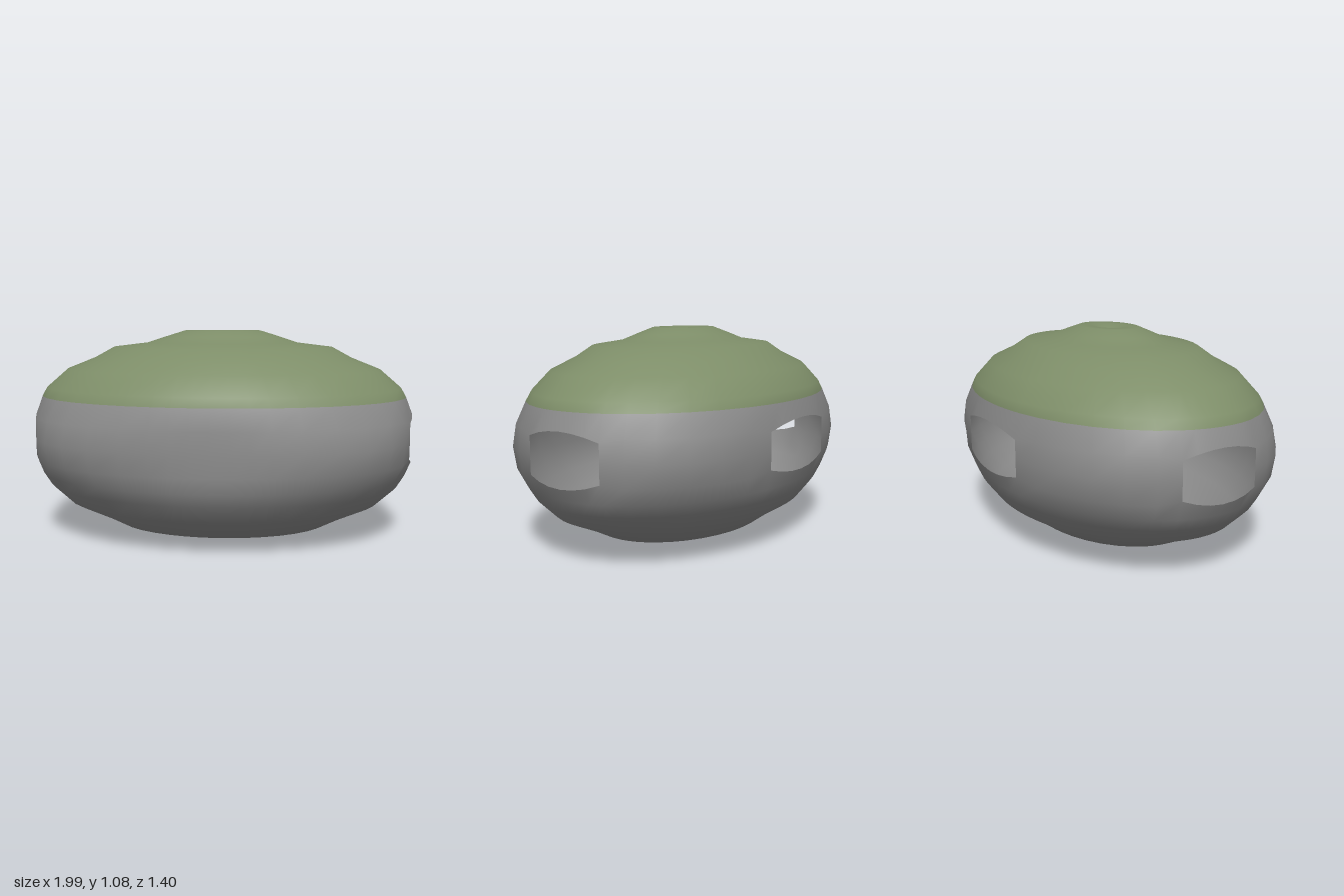
import * as THREE from 'three';

const DEPTH = 0.7;   // z size relative to x size
const HOLE = 16.5;   // half angle of the wall openings, degrees

// Profile from the rim of the bottom opening to the dimple on top:
// [radius along x, height, exponent of the plan outline (2 = ellipse, more = squarer)]
const PROFILE = [
  [0.285, 0.01, 2], [0.33, 0.022, 2], [0.4, 0.042, 2], [0.56, 0.06, 2], [0.67, 0.115, 2],
  [0.83, 0.185, 2], [0.93, 0.275, 2], [0.968, 0.34, 2.07], [0.997, 0.42, 2.2], [0.988, 0.53, 2.45],
  [0.997, 0.64, 2.2], [0.965, 0.745, 2.03], [0.94, 0.79, 2], [0.83, 0.885, 2], [0.68, 0.945, 2],
  [0.58, 1.0, 2], [0.4, 1.022, 2], [0.3, 1.055, 2], [0.2, 1.086, 2], [0.12, 1.086, 2],
  [0.07, 1.07, 2], [0, 1.066, 2],
];
const SILL = 8, LINTEL = 10, COLOUR_LINE = 11;

// Column angles: the first quadrant repeated, with columns on the opening edges
const QUADRANT = [0, 5.5, 11, HOLE, 25, 35, 45, 55, 65, 90 - HOLE, 79, 84.5];
const ANGLES = [0, 90, 180, 270].flatMap(q => QUADRANT.map(a => a + q));

// Angle from the nearest opening (both sides and the back; the front is closed)
function fromOpening(angle) {
  return Math.min(...[0, 180, 270, 360].map(c => Math.abs(angle - c)));
}

function shellPoint(row, angle) {
  let [r, y, n] = PROFILE[row];
  const t = THREE.MathUtils.degToRad(angle);
  const c = Math.cos(t), s = Math.sin(t);
  r /= Math.pow(Math.abs(c) ** n + Math.abs(s) ** n, 1 / n);
  // Arch the top and bottom edges of the openings
  const d = fromOpening(angle);
  if (d <= HOLE + 0.01 && (row === SILL || row === LINTEL)) {
    const arch = 0.02 - 0.038 * (d / HOLE) ** 2;
    y += row === LINTEL ? arch : -arch;
  }
  return [r * c, y, r * s * DEPTH];
}

// Triangles of the rows from..to, leaving out the openings
function bandIndex(from, to) {
  const n = ANGLES.length, index = [];
  for (let i = from; i < to; i++) {
    for (let j = 0; j < n; j++) {
      const k = (j + 1) % n;
      const middle = (ANGLES[j] + (k ? ANGLES[k] : 360)) / 2;
      if (i >= SILL && i < LINTEL && fromOpening(middle) < HOLE) continue;
      const a = i * n + j, b = a + n, c = i * n + k, d = c + n;
      index.push(a, b, c);
      if (PROFILE[i + 1][0] > 0) index.push(c, b, d);
    }
  }
  return index;
}

export function createModel() {
  const model = new THREE.Group();
  model.name = 'hollowShell';

  const stone = new THREE.MeshStandardMaterial({ color: 0x8c8c8c, side: THREE.DoubleSide });
  stone.name = 'stone grey';
  const moss = new THREE.MeshStandardMaterial({ color: 0x7d8d68, side: THREE.DoubleSide });
  moss.name = 'moss green';

  // The whole surface, so that shading runs smoothly across the colour line
  const points = PROFILE.flatMap((_, row) => ANGLES.flatMap(a => shellPoint(row, a)));
  const whole = new THREE.BufferGeometry();
  whole.setAttribute('position', new THREE.Float32BufferAttribute(points, 3));
  whole.setIndex(bandIndex(0, PROFILE.length - 1));
  whole.computeVertexNormals();

  function addBand(name, from, to, material) {
    const geometry = new THREE.BufferGeometry();
    geometry.setAttribute('position', whole.getAttribute('position'));
    geometry.setAttribute('normal', whole.getAttribute('normal'));
    geometry.setIndex(bandIndex(from, to));
    const mesh = new THREE.Mesh(geometry, material);
    mesh.name = name;
    model.add(mesh);
  }

  addBand('stoneWall', 0, COLOUR_LINE, stone);
  addBand('mossyTop', COLOUR_LINE, PROFILE.length - 1, moss);
  return model;
}
